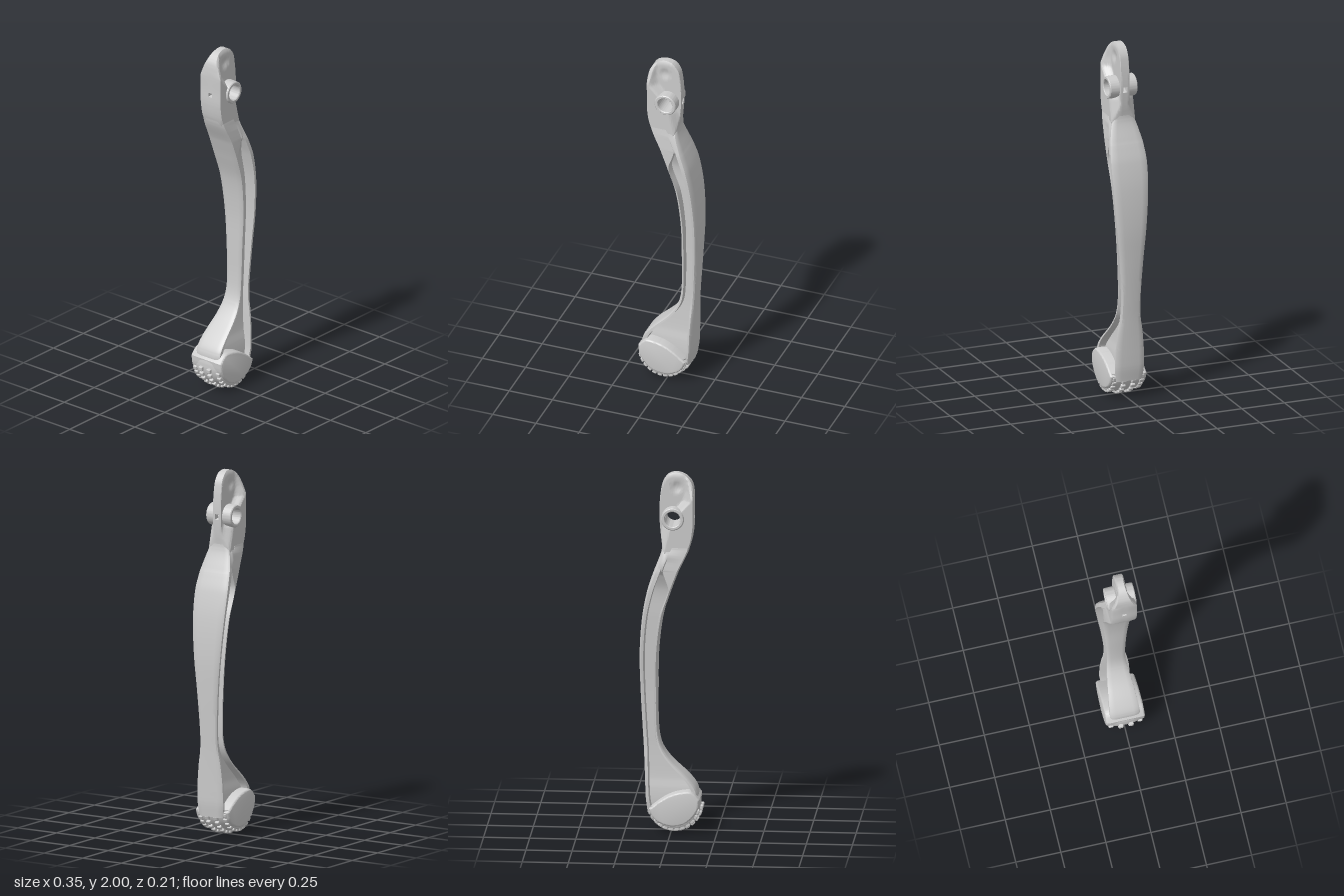
import * as THREE from 'three';
import { toCreasedNormals } from 'three/addons/utils/BufferGeometryUtils.js';
import { RoundedBoxGeometry } from 'three/addons/geometries/RoundedBoxGeometry.js';

const material = new THREE.MeshStandardMaterial({ color: 0xcccccc, side: THREE.DoubleSide });
const { lerp, smoothstep } = THREE.MathUtils;

function makeMesh(name, geometry) {
  const mesh = new THREE.Mesh(geometry, material);
  mesh.name = name;
  return mesh;
}

function fromFaces(positions, index, crease) {
  const g = new THREE.BufferGeometry();
  g.setAttribute('position', new THREE.Float32BufferAttribute(positions, 3));
  g.setIndex(index);
  return toCreasedNormals(g, crease);
}

// Linear lookup in a list of [key, value] pairs with ascending keys
function lookup(pairs, k) {
  if (k <= pairs[0][0]) return pairs[0][1];
  for (let i = 1; i < pairs.length; i++) {
    const [k0, v0] = pairs[i - 1], [k1, v1] = pairs[i];
    if (k <= k1) return lerp(v0, v1, (k - k0) / (k1 - k0));
  }
  return pairs[pairs.length - 1][1];
}

// Arm sections: y, left x, right x, left half depth, right half depth, pocket left, pocket right, web half depth
const SECTIONS = [
  [1.64, -0.113, 0.05, 0.062, 0.022, -0.02, 0.02, 0.045],
  [1.57, -0.095, 0.052, 0.073, 0.065, 0.0, 0.03, 0.07],
  [1.47, -0.047, 0.086, 0.082, 0.092, 0.04, 0.055, 0.088],
  [1.44, -0.035, 0.098, 0.083, 0.097, 0.036, 0.066, 0.07],
  [1.35, -0.002, 0.128, 0.083, 0.104, 0.012, 0.098, 0.04],
  [1.2, 0.045, 0.156, 0.077, 0.1, 0.06, 0.132, 0.035],
  [1.0, 0.07, 0.17, 0.067, 0.085, 0.085, 0.148, 0.03],
  [0.8, 0.073, 0.166, 0.056, 0.067, 0.088, 0.145, 0.025],
  [0.58, 0.07, 0.155, 0.05, 0.055, 0.085, 0.134, 0.025],
  [0.48, 0.052, 0.149, 0.054, 0.058, 0.07, 0.128, 0.025],
  [0.4, 0.003, 0.145, 0.064, 0.07, 0.023, 0.125, 0.028],
  [0.3, -0.097, 0.141, 0.078, 0.08, -0.072, 0.122, 0.035],
  [0.24, -0.14, 0.139, 0.082, 0.082, -0.11, 0.12, 0.045],
  [0.18, -0.145, 0.136, 0.08, 0.083, -0.11, 0.115, 0.05],
  [0.11, -0.11, 0.127, 0.07, 0.075, -0.08, 0.1, 0.05],
];

// Curved arm with a long recess in both faces
function armGeometry() {
  const pos = [], index = [], steps = 8;
  let rings = 0, n = 0;
  for (let s = 0; s < SECTIONS.length - 1; s++) {
    const last = s === SECTIONS.length - 2;
    for (let k = 0; k < steps + (last ? 1 : 0); k++) {
      const t = k / steps;
      const at = (i) => SECTIONS[Math.min(Math.max(i, 0), SECTIONS.length - 1)];
      const [A, B, C, D] = [at(s - 1), at(s), at(s + 1), at(s + 2)];
      // smooth curve through the section values, with slopes measured along y
      const [y, xl, xr, wl, wr, pl, pr, web] = B.map((b, c) => {
        const h = C[0] - B[0];
        const m0 = (C[c] - A[c]) / (C[0] - A[0]) * h, m1 = (D[c] - b) / (D[0] - B[0]) * h;
        const t2 = t * t, t3 = t2 * t;
        if (c === 0) return lerp(b, C[0], t);
        return b * (2 * t3 - 3 * t2 + 1) + m0 * (t3 - 2 * t2 + t) + C[c] * (3 * t2 - 2 * t3) + m1 * (t3 - t2);
      });
      const half = [[xr, 0.6 * wr], [xr - 0.003, 0.88 * wr], [xr - 0.01, wr], [pr, wr], [pr - 0.005, web],
        [pl + 0.005, web], [pl, wl], [xl + 0.009, wl], [xl + 0.003, 0.88 * wl], [xl, 0.6 * wl]];
      const ring = [...half, ...half.slice().reverse().map(([x, z]) => [x, -z])];
      n = ring.length;
      ring.forEach(([x, z]) => pos.push(x, y, z));
      rings++;
    }
  }
  for (let i = 0; i < rings - 1; i++) {
    for (let j = 0; j < n; j++) {
      const a = i * n + j, b = i * n + (j + 1) % n;
      index.push(a, b, a + n, b, b + n, a + n);
    }
  }
  return fromFaces(pos, index, 0.6);
}

const BORE = { x: -0.01, y: 1.753, r: 0.042 };

// Half depth of the head: thick on the left, a thin spine on the right and top
function headDepth(x, y) {
  const edge = lookup([[1.55, 0.05], [1.69, 0.015], [1.75, -0.01], [1.85, -0.1], [1.9, -0.11]], y);
  const cap = lookup([[1.86, 0.07], [2.0, 0.02]], y);
  const dimple = 0.009 * (1 - smoothstep(Math.hypot(x + 0.03, y - 1.92), 0.008, 0.04));
  const d = lerp(0.07, 0.026, smoothstep(x - edge, -0.012, 0.04));
  return Math.min(d, cap) - (d < 0.05 ? dimple : 0);
}

// Pivot head: rings run from the bore over the raised boss to the outline and back
function headGeometry() {
  const outline = new THREE.CatmullRomCurve3([
    [0.063, 1.72], [0.065, 1.8], [0.057, 1.9], [0.045, 1.95], [0.012, 1.99], [-0.03, 2], [-0.075, 1.985],
    [-0.11, 1.945], [-0.121, 1.89], [-0.121, 1.78], [-0.12, 1.69], [-0.104, 1.6], [-0.08, 1.555],
    [-0.02, 1.53], [0.035, 1.55], [0.052, 1.62],
  ].map(([x, y]) => new THREE.Vector3(x, y, 0)), true).getSpacedPoints(144).slice(0, -1);
  const N = outline.length, pin = 0.012;
  const pos = [], index = [];
  let M = 0, outer = 0;
  outline.forEach((p) => {
    const dx = p.x - BORE.x, dy = p.y - BORE.y, R = Math.hypot(dx, dy);
    const at = (r) => [BORE.x + dx / R * r, BORE.y + dy / R * r];
    const front = [[...at(BORE.r), pin], [...at(BORE.r), 0.076], [...at(BORE.r + 0.004), 0.08],
      [...at(0.057), 0.08], [...at(0.061), 0.076]];
    for (let k = 0; k <= 14; k++) {
      const [x, y] = at(lerp(0.0625, R, k / 14));
      front.push([x, y, headDepth(x, y) * (k === 14 ? 0.87 : 1)]);
    }
    front.push([p.x, p.y, pin]);
    outer = front.length - 1;
    const loop = [...front, ...front.slice().reverse().map(([x, y, z]) => [x, y, -z])];
    M = loop.length;
    loop.forEach((v) => pos.push(...v));
  });
  const inPin = (i) => [i, (i + 1) % N].every((j) => Math.abs(outline[j].y - BORE.y) < 0.019);
  const quad = (a, b, c, d) => index.push(a, b, c, b, d, c);
  for (let i = 0; i < N; i++) {
    const c0 = i * M, c1 = ((i + 1) % N) * M;
    for (let k = 0; k < M; k++) {
      // the middle strips of bore and outline stay open at the cross hole
      if (inPin(i) && (k === outer || k === M - 1)) continue;
      const k1 = (k + 1) % M;
      quad(c0 + k, c0 + k1, c1 + k, c1 + k1);
    }
    if (inPin(i)) { // tunnel walls of the cross hole
      quad(c0, c1, c0 + outer, c1 + outer);
      quad(c0 + M - 1, c0 + outer + 1, c1 + M - 1, c1 + outer + 1);
    }
    if (inPin(i) !== inPin((i + N - 1) % N)) quad(c0, c0 + outer, c0 + M - 1, c0 + outer + 1);
  }
  return fromFaces(pos, index, 0.6);
}

// Rounded foot: smooth side cheeks around a crowned, studded tread
function createFoot() {
  const foot = new THREE.Group();
  foot.name = 'foot';
  const vec = (list) => list.map(([x, y]) => new THREE.Vector2(x, y));
  const cheek = new THREE.Shape();
  cheek.moveTo(-0.147, 0.19);
  cheek.splineThru(vec([[-0.12, 0.22], [-0.09, 0.229], [-0.02, 0.215], [0.04, 0.185], [0.105, 0.135]]));
  cheek.splineThru(vec([[0.09, 0.1], [0.06, 0.072], [0.0, 0.052], [-0.06, 0.06], [-0.105, 0.09], [-0.14, 0.14], [-0.147, 0.19]]));
  const cheeks = new THREE.ExtrudeGeometry(cheek, {
    depth: 0.18, bevelThickness: 0.017, bevelSize: 0.01, bevelSegments: 4, curveSegments: 8,
  });
  cheeks.translate(0, 0, -0.09);
  foot.add(makeMesh('footCheeks', toCreasedNormals(cheeks, 0.7)));

  const profile = vec([[0, -0.1], [0.112, -0.1], [0.124, -0.094], [0.132, -0.075], [0.139, -0.04], [0.141, 0],
    [0.139, 0.04], [0.132, 0.075], [0.124, 0.094], [0.112, 0.1], [0, 0.1]]);
  const tread = new THREE.LatheGeometry(profile, 40, -1.8, 3.35);
  tread.rotateX(Math.PI / 2);
  const treadMesh = makeMesh('tread', toCreasedNormals(tread, 0.7));
  treadMesh.position.set(-0.02, 0.156, 0);
  foot.add(treadMesh);

  // Studs in four staggered rows
  const stud = new RoundedBoxGeometry(0.026, 0.026, 0.026, 2, 0.006);
  for (const [z, r, shift] of [[-0.08, 0.128, 0.12], [-0.028, 0.142, 0], [0.028, 0.142, 0], [0.08, 0.128, 0.12]]) {
    for (let k = -6; k <= 5; k++) {
      const a = k * 0.24 + shift;
      const mesh = makeMesh('treadStud', stud);
      mesh.position.set(-0.02 + r * Math.sin(a), 0.156 - r * Math.cos(a), z);
      mesh.rotation.z = a;
      foot.add(mesh);
    }
  }
  return foot;
}

export function createModel() {
  const model = new THREE.Group();
  model.name = 'lever';
  model.add(makeMesh('arm', armGeometry()), makeMesh('pivotHead', headGeometry()), createFoot());
  return model;
}
